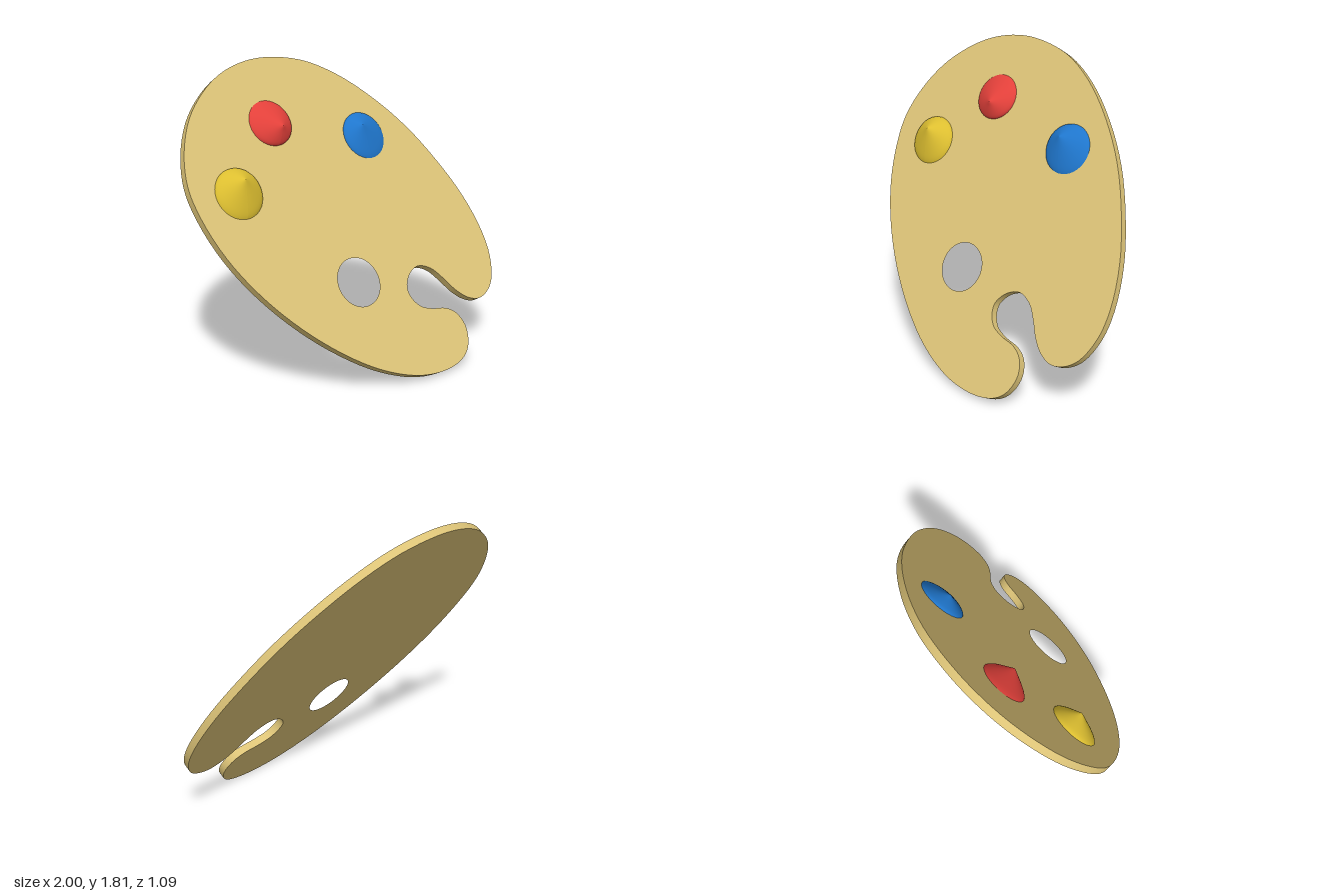
import * as THREE from 'three';
import { toCreasedNormals } from 'three/addons/utils/BufferGeometryUtils.js';

const THICKNESS = 0.048;

// Leaning plane of the board's painted face: z = 0.6 - 0.127x - 0.623y
const ORIGIN = new THREE.Vector3(0, 0, 0.6);
const N = new THREE.Vector3(0.127, 0.623, 1).normalize();
const U = new THREE.Vector3(1, 0, -0.127).normalize();
const V = new THREE.Vector3().crossVectors(N, U);

// Turn a point into the board's own frame (z = height above its face)
function toBoard(x, y, z = 0.6 - 0.127 * x - 0.623 * y) {
  const p = new THREE.Vector3(x, y, z).sub(ORIGIN);
  return new THREE.Vector3(p.dot(U), p.dot(V), p.dot(N));
}

// Board outline as seen from the front, clockwise from the top
const OUTLINE = [
  [-0.26, 1.805], [0, 1.765], [0.225, 1.665], [0.45, 1.505], [0.65, 1.31], [0.81, 1.09],
  [0.93, 0.87], [0.993, 0.66], [0.995, 0.515], [0.945, 0.39], [0.875, 0.335], [0.79, 0.315],
  [0.705, 0.34], [0.63, 0.395], [0.56, 0.475], [0.49, 0.54], [0.4, 0.57], [0.32, 0.543],
  [0.27, 0.48], [0.278, 0.425], [0.325, 0.37], [0.405, 0.34], [0.51, 0.32], [0.58, 0.28],
  [0.62, 0.205], [0.605, 0.12], [0.555, 0.065], [0.465, 0.032], [0.33, 0.022], [0.145, 0.047],
  [-0.085, 0.13], [-0.31, 0.26], [-0.535, 0.435], [-0.73, 0.635], [-0.88, 0.85], [-0.968, 1.06],
  [-0.995, 1.22], [-0.96, 1.385], [-0.87, 1.545], [-0.74, 1.665], [-0.6, 1.745], [-0.44, 1.792],
];

function boardGeometry() {
  const curve = new THREE.CatmullRomCurve3(OUTLINE.map(([x, y]) => toBoard(x, y)), true);
  const shape = new THREE.Shape(curve.getPoints(168).slice(0, -1).map((p) => new THREE.Vector2(p.x, p.y)));
  // Thumb hole
  const c = toBoard(-0.065, 0.575);
  shape.holes.push(new THREE.Path().absarc(c.x, c.y, 0.148, 0, Math.PI * 2, true));
  const geo = new THREE.ExtrudeGeometry(shape, { depth: THICKNESS, bevelEnabled: false, curveSegments: 32 });
  geo.translate(0, 0, -THICKNESS);
  return toCreasedNormals(geo, 0.7);
}

// Round dab of paint drawn out to a point that leans sideways
const DAB = [[1, 0], [0.94, 0.12], [0.81, 0.28], [0.56, 0.52], [0.26, 0.78], [0.09, 0.93], [0, 1]];

function dabGeometry([cx, cy], radius, tip) {
  const base = toBoard(cx, cy);
  const top = toBoard(...tip);
  const profile = new THREE.SplineCurve(DAB.map(([r, h]) => new THREE.Vector2(r * radius, h * top.z)))
    .getPoints(18);
  profile[profile.length - 1].x = 0;
  const geo = new THREE.LatheGeometry(profile, 36);
  geo.rotateX(Math.PI / 2);
  const pos = geo.attributes.position;
  for (let i = 0; i < pos.count; i++) {
    const k = pos.getZ(i) / top.z;
    pos.setX(i, pos.getX(i) + base.x + k * (top.x - base.x));
    pos.setY(i, pos.getY(i) + base.y + k * (top.y - base.y));
  }
  geo.computeVertexNormals();
  return geo;
}

function material(name, color) {
  const m = new THREE.MeshStandardMaterial({ color });
  m.name = name;
  return m;
}

export function createModel() {
  const model = new THREE.Group();
  model.name = 'paintPalette';

  // Everything is built flat, then leaned back together
  const leaning = new THREE.Group();
  leaning.name = 'leaningPalette';
  leaning.applyMatrix4(new THREE.Matrix4().makeBasis(U, V, N).setPosition(ORIGIN));
  model.add(leaning);

  const add = (name, geo, mat) => {
    const mesh = new THREE.Mesh(geo, mat);
    mesh.name = name;
    leaning.add(mesh);
  };

  add('board', boardGeometry(), material('wood', 0xdcc377));

  // Paint dabs: centre on the board, radius, tip
  add('yellowPaint', dabGeometry([-0.69, 1.14], 0.152, [-0.675, 1.235, 0.035]), material('yellow', 0xdcbe30));
  add('redPaint', dabGeometry([-0.35, 1.458], 0.142, [-0.315, 1.457, -0.17]), material('red', 0xe2403a));
  add('bluePaint', dabGeometry([0.295, 1.308], 0.15, [0.263, 1.385, -0.213]), material('blue', 0x1f76cc));

  return model;
}
